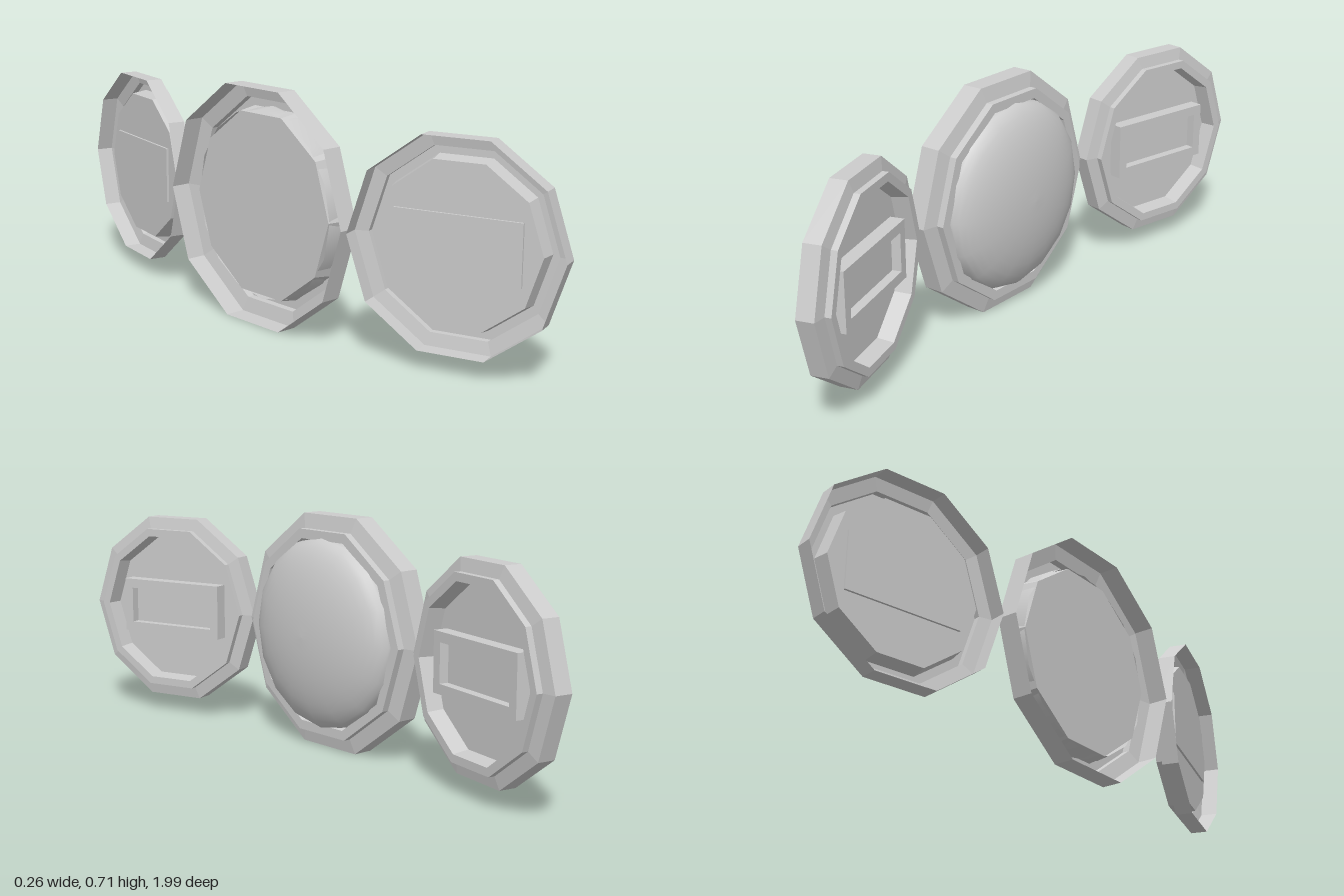
import * as THREE from 'three';

const flat = new THREE.MeshStandardMaterial({ color: 0xcccccc, flatShading: true, side: THREE.DoubleSide });
const smooth = new THREE.MeshStandardMaterial({ color: 0xcccccc, side: THREE.DoubleSide });

// Lathe around the x axis; points are [radius, distance along x]
function latheX(points, sides, material, name) {
  const geo = new THREE.LatheGeometry(points.map(([r, x]) => new THREE.Vector2(r, x)), sides);
  geo.rotateZ(-Math.PI / 2);
  const mesh = new THREE.Mesh(geo, material);
  mesh.name = name;
  return mesh;
}

// Ten-sided casing, open at the back, with a stepped front and a sunken floor
function makeCasing() {
  const profile = [
    [0.373, 0], [0.373, 0.063],      // outer wall
    [0.326, 0.072], [0.326, 0.095],  // bevel and raised step
    [0.296, 0.095], [0.287, 0.036],  // step rim and inner wall
    [0, 0.036],                      // floor
  ];
  return latheX(profile, 10, flat, 'casing');
}

function rectangle(Type, w, h) {
  const p = new Type();
  p.moveTo(-w / 2, -h / 2);
  p.lineTo(w / 2, -h / 2);
  p.lineTo(w / 2, h / 2);
  p.lineTo(-w / 2, h / 2);
  p.closePath();
  return p;
}

// Rectangular handle block with a recessed slot
function makeHandle() {
  const handle = new THREE.Group();
  handle.name = 'handle';
  const shape = rectangle(THREE.Shape, 0.37, 0.175);
  shape.holes.push(rectangle(THREE.Path, 0.31, 0.115));
  const geo = new THREE.ExtrudeGeometry(shape, { depth: 0.05, bevelEnabled: false });
  geo.rotateY(Math.PI / 2);
  geo.translate(0.023, 0, 0);
  const frame = new THREE.Mesh(geo, flat);
  frame.name = 'handleFrame';
  const slot = new THREE.Mesh(new THREE.BoxGeometry(0.022, 0.115, 0.31), flat);
  slot.name = 'slotFloor';
  slot.position.x = 0.034;
  handle.add(frame, slot);
  return handle;
}

export function createModel() {
  const model = new THREE.Group();
  model.name = 'threeDiscs';
  const midY = 0.355;

  // Centre disc with a shallow dome
  const centre = new THREE.Group();
  centre.name = 'centreDisc';
  centre.position.set(-0.127, midY, 0);
  const dome = [[0.287, 0.04]];
  for (let i = 0; i <= 10; i++) {
    const a = (i / 10) * Math.PI / 2;
    dome.push([0.292 * Math.cos(a), 0.082 + 0.095 * Math.sin(a)]);
  }
  centre.add(makeCasing(), latheX(dome, 16, smooth, 'dome'));
  model.add(centre);

  // Smaller side discs, turned towards the centre
  const sides = [
    { name: 'leftOuterDisc', x: -0.031, z: 0.694, turn: 18.5 },
    { name: 'rightOuterDisc', x: -0.032, z: -0.694, turn: -11.6 },
  ];
  for (const { name, x, z, turn } of sides) {
    const disc = new THREE.Group();
    disc.name = name;
    disc.position.set(x, midY, z);
    disc.rotation.y = THREE.MathUtils.degToRad(turn);
    const casing = makeCasing();
    casing.scale.setScalar(0.839);
    disc.add(casing, makeHandle());
    model.add(disc);
  }
  return model;
}
